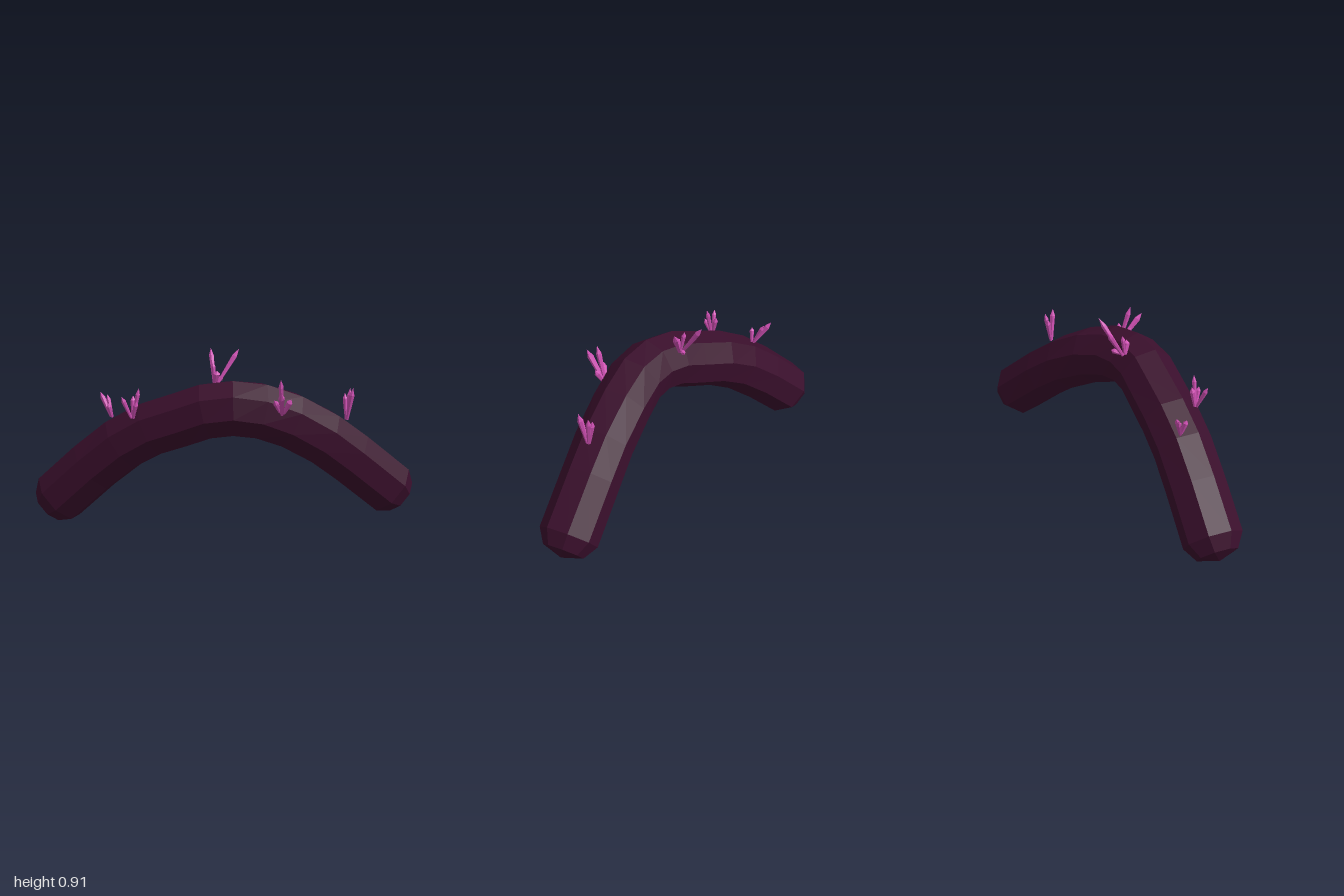
import * as THREE from 'three';

const V = (a) => new THREE.Vector3(...a);
const SIDES = 8;
const RADIUS = 0.148;

// Centre line of the bent body, from right end to left end
const SPINE = [
  [-0.875, 0.13, -0.02], [-0.68, 0.31, 0.01], [-0.52, 0.44, 0.035], [-0.37, 0.525, 0.055],
  [-0.2, 0.585, 0.08], [-0.08, 0.63, 0.097], [0.05, 0.647, 0.1], [0.18, 0.632, 0.075],
  [0.33, 0.575, 0.02], [0.5, 0.475, -0.04], [0.64, 0.365, -0.095], [0.86, 0.175, -0.175],
].map(V);

// Crystal clusters: a root on the body, then [tip, thickness] for each shard
const CLUSTERS = [
  { root: [-0.58, 0.565, -0.02], shards: [
    [[-0.655, 0.685, -0.085], 0.014], [[-0.615, 0.675, -0.07], 0.012], [[-0.6, 0.64, 0.0], 0.013]] },
  { root: [-0.45, 0.6, 0.15], shards: [
    [[-0.415, 0.755, 0.16], 0.012], [[-0.5, 0.715, 0.185], 0.012],
    [[-0.45, 0.71, 0.125], 0.014], [[-0.425, 0.69, 0.185], 0.013]] },
  { root: [-0.05, 0.75, -0.01], shards: [
    [[-0.08, 0.915, -0.13], 0.014], [[0.07, 0.92, -0.09], 0.014], [[-0.06, 0.86, -0.03], 0.012],
    [[-0.015, 0.775, -0.07], 0.013], [[-0.035, 0.82, 0.01], 0.019]] },
  { root: [0.3, 0.635, 0.16], shards: [
    [[0.293, 0.82, 0.23], 0.014], [[0.298, 0.765, 0.305], 0.016],
    [[0.345, 0.715, 0.19], 0.016], [[0.262, 0.715, 0.22], 0.014]] },
  { root: [0.625, 0.56, -0.075], shards: [
    [[0.655, 0.73, -0.045], 0.015], [[0.615, 0.695, -0.1], 0.014], [[0.642, 0.72, -0.1], 0.013]] },
];

// Faceted tube swept along the spine with a rounded cap at each end
function bodyGeometry() {
  const n = SPINE.length;
  const tangents = SPINE.map((p, i) =>
    SPINE[Math.min(i + 1, n - 1)].clone().sub(SPINE[Math.max(i - 1, 0)]).normalize());
  const rings = SPINE.map((c, i) => ({ c, t: tangents[i], r: RADIUS }));
  const cap = (i, dir, along, r) =>
    ({ c: SPINE[i].clone().addScaledVector(tangents[i], dir * along), t: tangents[i], r });
  rings.unshift(cap(0, -1, 0.105, 0), cap(0, -1, 0.073, 0.103));
  rings.push(cap(n - 1, 1, 0.073, 0.103), cap(n - 1, 1, 0.105, 0));

  const positions = [], index = [];
  rings.forEach(({ c, t, r }, i) => {
    const side = new THREE.Vector3(0, 0, 1).addScaledVector(t, -t.z).normalize();
    const up = side.clone().cross(t);
    for (let j = 0; j < SIDES; j++) {
      const a = THREE.MathUtils.degToRad(78 + (360 / SIDES) * j);
      const p = c.clone().addScaledVector(side, r * Math.cos(a)).addScaledVector(up, r * Math.sin(a));
      positions.push(p.x, p.y, p.z);
      if (i === rings.length - 1) continue;
      const k = i * SIDES + j, m = i * SIDES + ((j + 1) % SIDES);
      if (i < rings.length - 2) index.push(k, k + SIDES, m + SIDES);
      else index.push(k, k + SIDES, m);
      if (i > 0 && i < rings.length - 2) index.push(k, m + SIDES, m);
    }
  });
  const g = new THREE.BufferGeometry();
  g.setAttribute('position', new THREE.Float32BufferAttribute(positions, 3));
  g.setIndex(index);
  g.computeVertexNormals();
  return g;
}

// Six-sided shard that widens upward and ends in a point
function shardGeometry(length, r) {
  const profile = [[0, 0], [0.55 * r, 0], [r, 0.78 * length], [0, length]];
  return new THREE.LatheGeometry(profile.map(([x, y]) => new THREE.Vector2(x, y)), 6);
}

export function createModel() {
  const model = new THREE.Group();
  model.name = 'crystalBody';
  const skin = new THREE.MeshStandardMaterial({ color: 0x3a0f2c, flatShading: true });
  const crystal = new THREE.MeshStandardMaterial({ color: 0xd050b4, flatShading: true });

  const body = new THREE.Mesh(bodyGeometry(), skin);
  body.name = 'body';
  model.add(body);

  CLUSTERS.forEach(({ root, shards }, i) => {
    const cluster = new THREE.Group();
    cluster.name = `crystalCluster${i + 1}`;
    for (const [tip, r] of shards) {
      // Spread the roots slightly so the shards fan out
      const base = V(root).lerp(V([tip[0], root[1], tip[2]]), 0.12);
      const dir = V(tip).sub(base);
      const shard = new THREE.Mesh(shardGeometry(dir.length(), r), crystal);
      shard.name = 'crystal';
      shard.position.copy(base);
      shard.quaternion.setFromUnitVectors(new THREE.Vector3(0, 1, 0), dir.normalize());
      cluster.add(shard);
    }
    model.add(cluster);
  });
  return model;
}
